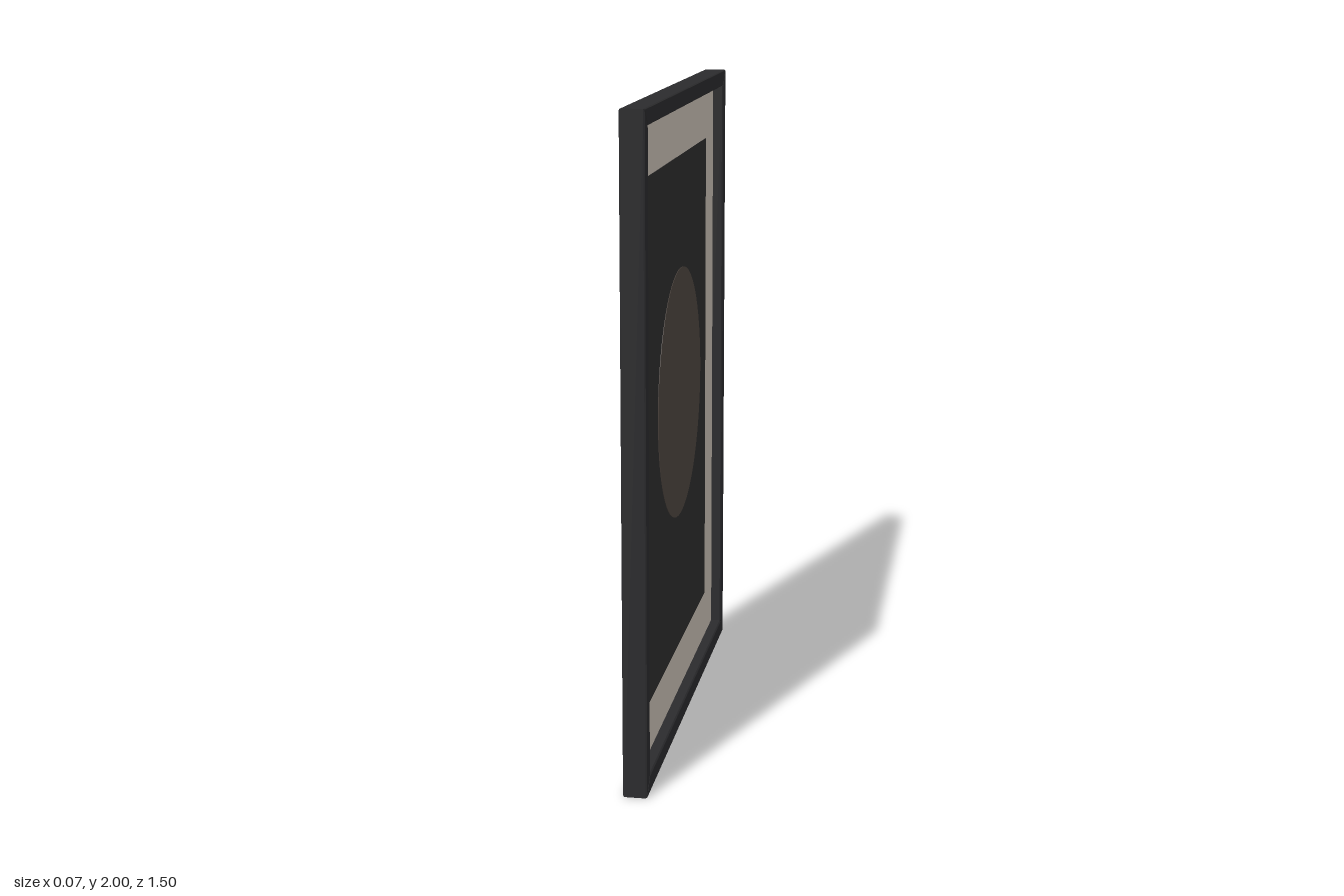
import * as THREE from 'three';

const material = (name, color) => {
  const m = new THREE.MeshStandardMaterial({ color });
  m.name = name;
  return m;
};

export function createModel() {
  const frameMat = material('charcoal frame', 0x2b2b2d);
  const boardMat = material('warm ivory', 0xcbc1b6);
  const pictureMat = material('dark grey', 0x2d2d2d);
  const discMat = material('dull brown', 0x4f4640);

  const group = new THREE.Group();
  group.name = 'framedPicture';
  const add = (name, geometry, mat, y = 0, z = 0) => {
    const mesh = new THREE.Mesh(geometry, mat);
    mesh.name = name;
    mesh.position.set(0, y, z);
    group.add(mesh);
  };

  // Four mitred bars with a small chamfer, extruded through the thickness
  const W = 0.75, H = 2, T = 0.072, B = 0.004, w = 0.7, y0 = 0.053, y1 = 1.95;
  const bars = {
    frameBottom: [[-W, 0], [W, 0], [w, y0], [-w, y0]],
    frameTop: [[-w, y1], [w, y1], [W, H], [-W, H]],
    frameFrontSide: [[-W, 0], [-w, y0], [-w, y1], [-W, H]],
    frameBackSide: [[W, 0], [W, H], [w, y1], [w, y0]],
  };
  for (const [name, points] of Object.entries(bars)) {
    const shape = new THREE.Shape(points.map(([x, y]) => new THREE.Vector2(x, y)));
    const geometry = new THREE.ExtrudeGeometry(shape, {
      depth: T - 2 * B, bevelThickness: B, bevelSize: B, bevelOffset: -B, bevelSegments: 1,
    });
    geometry.translate(0, 0, B - T / 2).rotateY(Math.PI / 2);
    add(name, geometry, frameMat);
  }

  // Mount board, picture and disc: thin layers set mid-depth, seen from both sides
  add('mountBoard', new THREE.BoxGeometry(0.003, y1 - y0 + 0.01, 2 * w + 0.01), boardMat, (y0 + y1) / 2);
  add('picture', new THREE.BoxGeometry(0.006, 1.58, 1.065), pictureMat, 1.0, -0.003);
  add('disc', new THREE.CylinderGeometry(0.397, 0.397, 0.009, 64).rotateZ(Math.PI / 2), discMat, 1.042, -0.022);

  return group;
}
